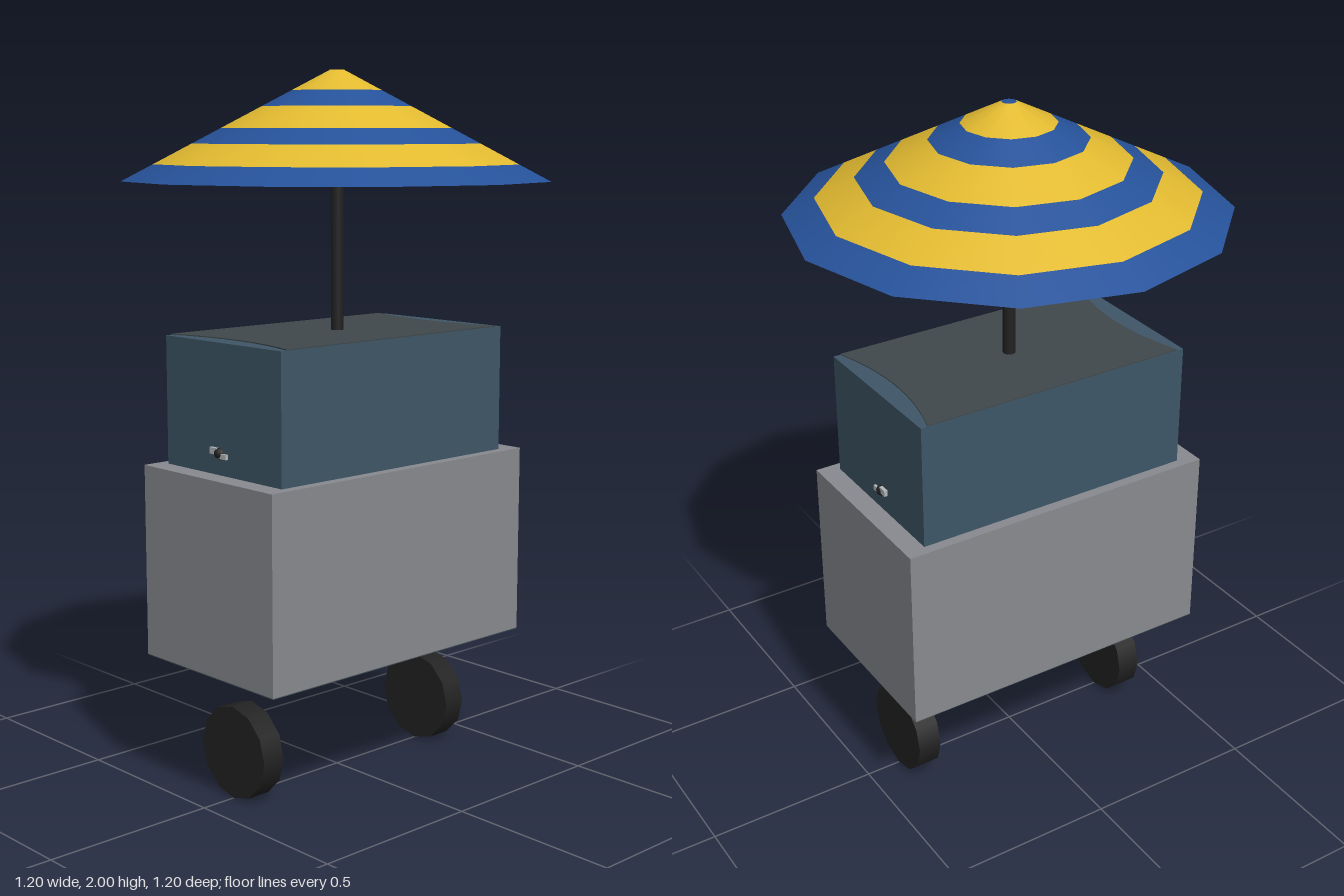
import * as THREE from 'three';

const mat = (name, color, side = THREE.FrontSide) => {
  const m = new THREE.MeshStandardMaterial({ color, side });
  m.name = name;
  return m;
};

export function createModel() {
  const root = new THREE.Group();
  root.name = 'vendingCart';

  const blue = mat('canopy blue', 0x26529a);
  const yellow = mat('canopy yellow', 0xe2ba30);
  const grey = mat('cart grey', 0x888a8f);
  const teal = mat('cabinet teal', 0x3e5667);
  const lidDark = mat('lid charcoal', 0x40484b);
  const floorDark = mat('underside slate', 0x46545a);
  const black = mat('black', 0x222222);
  const steel = mat('steel', 0xb4b8ba);

  const add = (name, geo, material, x = 0, y = 0, z = 0, parent = root) => {
    const m = new THREE.Mesh(geo, material);
    m.name = name;
    m.position.set(x, y, z);
    parent.add(m);
    return m;
  };

  // Cart body and the smaller cabinet standing on it
  add('cartBody', new THREE.BoxGeometry(0.96, 0.545, 0.54), grey, 0, 0.6475, 0);
  add('cartUnderside', new THREE.BoxGeometry(0.958, 0.004, 0.538), floorDark, 0, 0.374, 0);
  add('cabinet', new THREE.BoxGeometry(0.84, 0.36, 0.48), teal, 0, 1.1, 0);

  // Dark lid panel with ends that bow inwards
  const lid = new THREE.Shape();
  lid.moveTo(-0.4, -0.239);
  lid.lineTo(0.4, -0.239);
  lid.quadraticCurveTo(0.32, 0, 0.4, 0.239);
  lid.lineTo(-0.4, 0.239);
  lid.quadraticCurveTo(-0.32, 0, -0.4, -0.239);
  const lidGeo = new THREE.ExtrudeGeometry(lid, { depth: 0.003, bevelEnabled: false, curveSegments: 8 });
  lidGeo.rotateX(-Math.PI / 2);
  add('lidPanel', lidGeo, lidDark, 0, 1.28, 0);

  // Wheels and small side latches, one pair on each side
  for (const s of [1, -1]) {
    const side = s > 0 ? 'left' : 'right';
    const wheelGeo = new THREE.CylinderGeometry(0.133, 0.133, 0.07, 12);
    wheelGeo.rotateZ(Math.PI / 2).rotateX(Math.PI / 2);
    add(side + 'Wheel', wheelGeo, black, s * 0.36, 0.133, 0);

    const latch = new THREE.Group();
    latch.name = side + 'Latch';
    latch.position.set(s * 0.42, 0.98, 0);
    root.add(latch);
    add('latchKnob', new THREE.SphereGeometry(0.016, 10, 8), black, 0, 0, -0.012, latch);
    add('latchBar', new THREE.BoxGeometry(0.016, 0.014, 0.04), steel, 0, -0.006, 0.002, latch);
    add('latchTab', new THREE.BoxGeometry(0.02, 0.018, 0.028), steel, 0, 0.006, -0.03, latch);
  }

  // Canopy pole
  add('pole', new THREE.CylinderGeometry(0.018, 0.018, 0.44, 12), black, 0, 1.485, 0);

  // Twelve-sided striped canopy, one ring for each stripe
  const canopy = new THREE.Group();
  canopy.name = 'canopy';
  root.add(canopy);
  const radii = [0.02, 0.128, 0.212, 0.325, 0.405, 0.512, 0.6];
  const heightAt = (r) => 2 - (0.3 * (r - 0.02)) / 0.58;
  for (let i = 0; i < radii.length - 1; i++) {
    const top = heightAt(radii[i]);
    const bottom = heightAt(radii[i + 1]);
    add('canopyStripe' + (i + 1),
      new THREE.CylinderGeometry(radii[i], radii[i + 1], top - bottom, 12, 1, true),
      i % 2 ? blue : yellow, 0, (top + bottom) / 2, 0, canopy);
  }
  const disc = (r, up) => new THREE.CircleGeometry(r, 12).rotateX(up ? -Math.PI / 2 : Math.PI / 2);
  add('canopyTip', disc(0.02, true), blue, 0, 2, 0, canopy);
  add('canopyUnderside', disc(0.6, false), blue, 0, 1.7, 0, canopy);

  return root;
}
